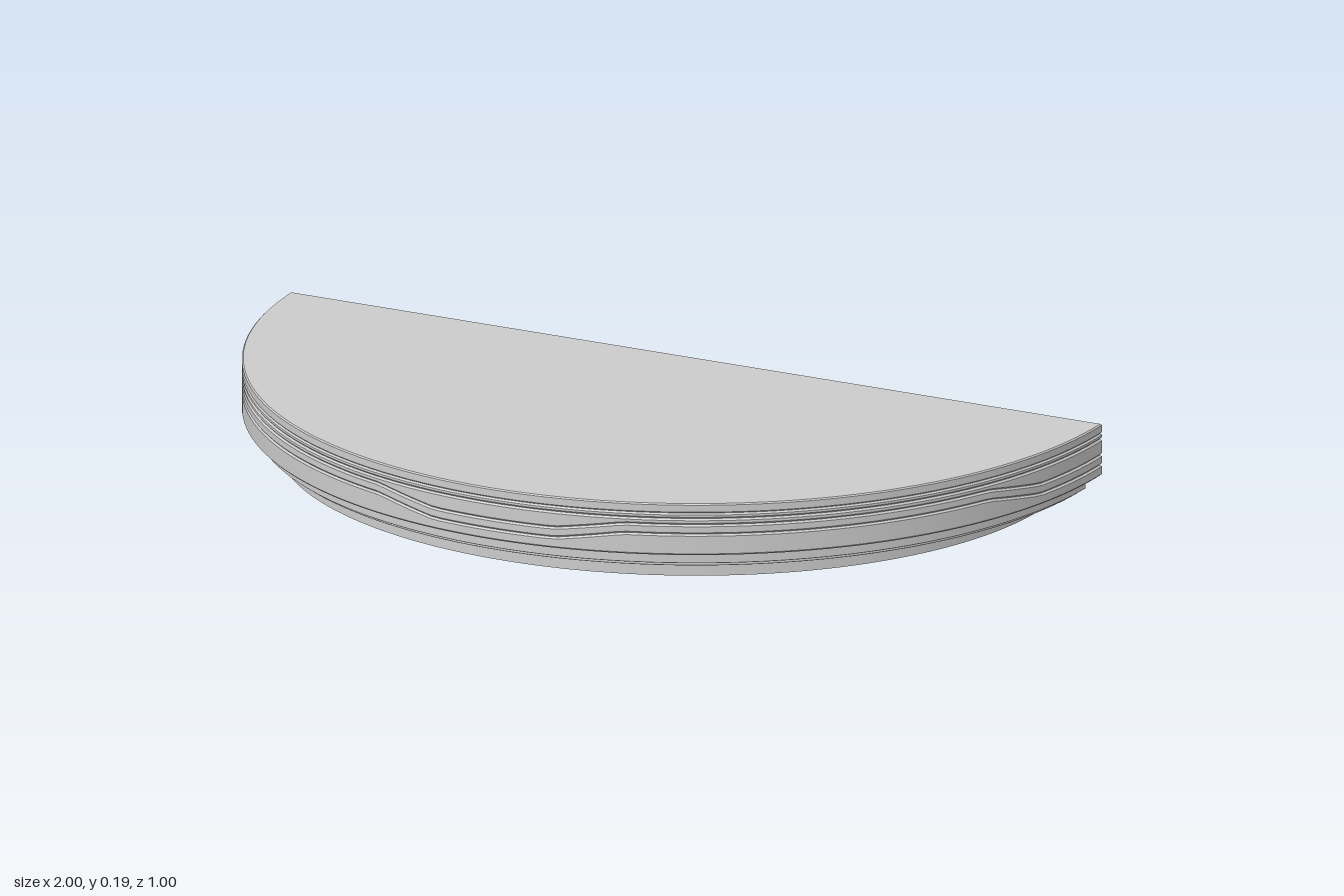
import * as THREE from 'three';
import { toCreasedNormals } from 'three/addons/utils/BufferGeometryUtils.js';

const material = new THREE.MeshStandardMaterial({ color: 0xcccccc });
const ARC = 120, CHORD = 12, BACK = -0.5, BEVEL = 0.004;

// Half-disc outline, inset by d; each point keeps its angle for the wave
function outline(d) {
  const r = 1 - d, a0 = Math.asin(d / r), points = [];
  for (let i = 0; i <= ARC; i++) {
    const a = a0 + (Math.PI - 2 * a0) * i / ARC;
    points.push({ x: r * Math.cos(a), z: BACK + r * Math.sin(a), a });
  }
  const half = r * Math.cos(a0);
  for (let i = 1; i < CHORD; i++) {
    points.push({ x: -half + 2 * half * i / CHORD, z: BACK + d, a: 0 });
  }
  return points;
}

// Rise of the wavy seam: low at the front centre and at both ends
function wave(a) {
  const deg = THREE.MathUtils.radToDeg(Math.min(a, Math.PI - a));
  const up = THREE.MathUtils.clamp((deg - 14) / 9, 0, 1);
  const down = THREE.MathUtils.clamp((90 - deg - 8.6) / 8.9, 0, 1);
  return Math.min(up, down);
}

// Solid half-disc slab with bevelled rims; bottom and top are heights by angle
function slab(name, inset, bottom, top, bevel = BEVEL) {
  const centre = h => outline(inset).map(p => [0, h(p.a), -0.1]);
  const ring = (d, h) => outline(d).map(p => [p.x, h(p.a), p.z]);
  const rings = [
    centre(() => bottom(0)),
    ring(inset + bevel, bottom),
    ring(inset, a => bottom(a) + bevel),
    ring(inset, a => top(a) - bevel),
    ring(inset + bevel, top),
    centre(() => top(0)),
  ];
  const n = rings[0].length, position = [];
  for (let k = 0; k < rings.length - 1; k++) {
    for (let i = 0; i < n; i++) {
      const j = (i + 1) % n, lo = rings[k], hi = rings[k + 1];
      if (k > 0) position.push(...lo[i], ...hi[i], ...lo[j]);
      if (k < rings.length - 2) position.push(...lo[j], ...hi[i], ...hi[j]);
    }
  }
  const geometry = new THREE.BufferGeometry();
  geometry.setAttribute('position', new THREE.Float32BufferAttribute(position, 3));
  const mesh = new THREE.Mesh(toCreasedNormals(geometry, 0.6), material);
  mesh.name = name;
  return mesh;
}

// Half ellipse used by the foot rim
function halfEllipse(path, rx, front, back) {
  path.moveTo(rx, back);
  path.absellipse(0, back, rx, front - back, 0, Math.PI, false, 0);
  path.closePath();
  return path;
}

function footRim() {
  const height = 0.035, rim = 0.032;
  const shape = halfEllipse(new THREE.Shape(), 0.893, 0.43, -0.415);
  shape.holes.push(halfEllipse(new THREE.Path(), 0.893 - rim, 0.43 - rim, -0.415 + rim));
  const geometry = new THREE.ExtrudeGeometry(shape, {
    depth: height, bevelEnabled: false, curveSegments: 100,
  });
  geometry.rotateX(Math.PI / 2).translate(0, height, 0);
  const mesh = new THREE.Mesh(toCreasedNormals(geometry, 0.6), material);
  mesh.name = 'footRim';
  return mesh;
}

export function createModel() {
  const group = new THREE.Group();
  group.name = 'halfRoundSlab';
  const flat = y => () => y;
  const lowerSeam = a => 0.095 + 0.024 * wave(a);
  const upperSeam = a => 0.118 + 0.023 * wave(a);

  group.add(
    footRim(),
    // Stepped underside
    slab('lowerStep', 0.041, flat(0.033), flat(0.044), 0.001),
    slab('upperStep', 0.027, flat(0.043), flat(0.072), 0.001),
    // Stacked body with the wavy band
    slab('lowerBody', 0, flat(0.07), lowerSeam),
    slab('wavyBand', 0, lowerSeam, upperSeam),
    slab('upperBody', 0, upperSeam, flat(0.155)),
    // Lid
    slab('thinBand', 0, flat(0.155), flat(0.168)),
    slab('lid', 0, flat(0.168), flat(0.19), 0.003),
  );
  return group;
}
